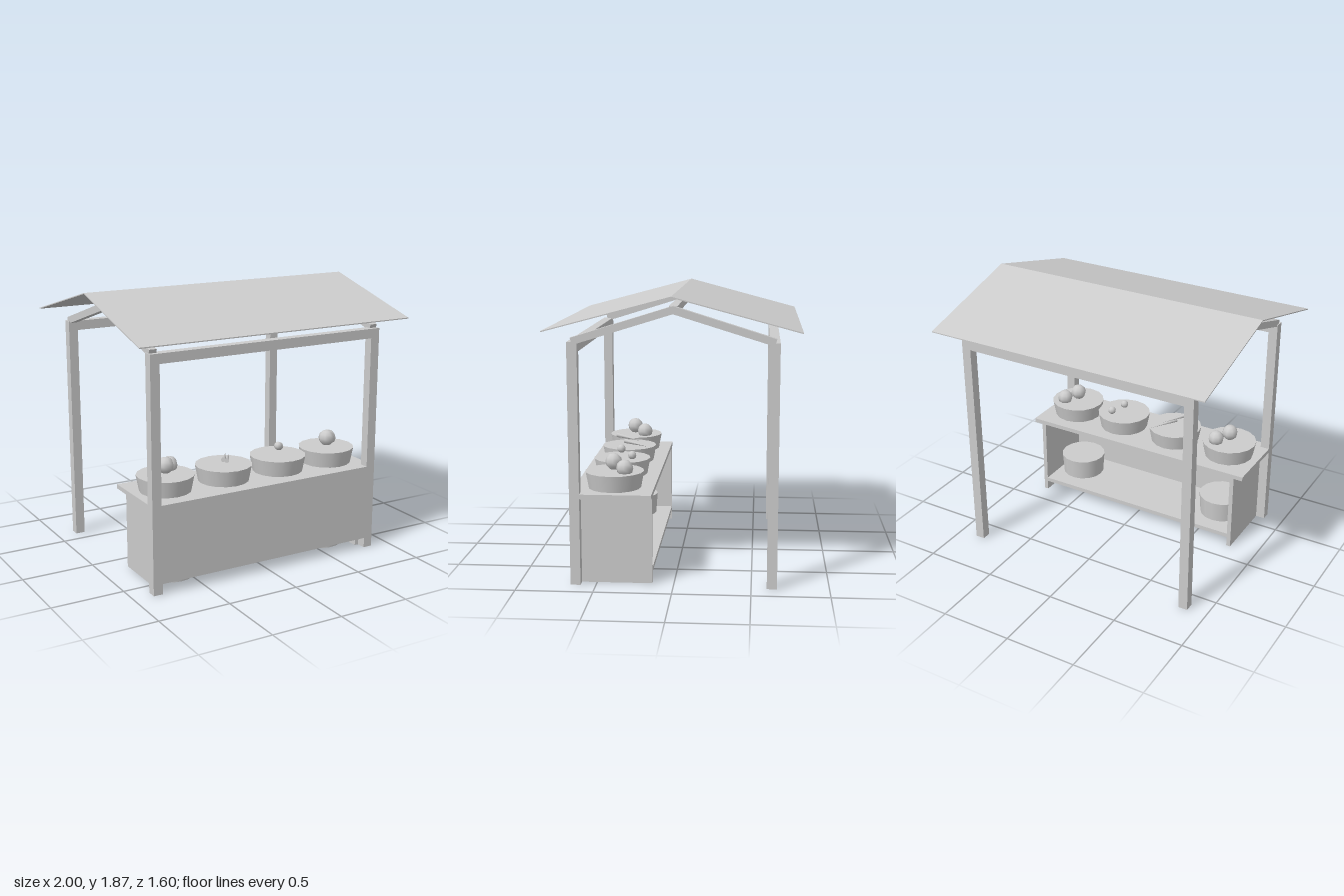
import * as THREE from 'three';

export function createModel() {
  const model = new THREE.Group();
  model.name = 'marketStall';
  const grey = new THREE.MeshStandardMaterial({ color: 0xcccccc });
  grey.name = 'plainGrey';

  const add = (name, geometry, x = 0, y = 0, z = 0, parent = model) => {
    const mesh = new THREE.Mesh(geometry, grey);
    mesh.name = name;
    mesh.position.set(x, y, z);
    parent.add(mesh);
    return mesh;
  };
  // Box given by its lower and upper limits
  const box = (name, x0, x1, y0, y1, z0, z1) =>
    add(name, new THREE.BoxGeometry(x1 - x0, y1 - y0, z1 - z0),
      (x0 + x1) / 2, (y0 + y1) / 2, (z0 + z1) / 2);
  // Gable section, mirrored about the ridge and extruded along x
  const gable = (name, apexTop, apexBottom, outerTop, outerBottom, x0, x1) => {
    const half = [outerTop, outerBottom];
    const points = [[0, apexTop], ...half, [0, apexBottom],
      ...half.slice().reverse().map(([z, y]) => [-z, y])];
    const shape = new THREE.Shape(points.map(([z, y]) => new THREE.Vector2(z, y)));
    const geometry = new THREE.ExtrudeGeometry(shape, { depth: x1 - x0, bevelEnabled: false });
    geometry.rotateY(Math.PI / 2);
    geometry.translate(x0, 0, 0);
    return add(name, geometry);
  };

  // Frame: posts, cross beams, rafters and ridge
  for (const [side, sx] of [['left', 1], ['right', -1]]) {
    for (const [end, sz] of [['Front', 1], ['Back', -1]]) {
      add(`${side}${end}Post`, new THREE.BoxGeometry(0.065, 1.575, 0.065),
        sx * 0.8325, 0.7875, sz * 0.6325);
    }
    gable(`${side}Rafters`, 1.8, 1.75, [0.643, 1.6], [0.63, 1.555],
      sx * 0.8325 - 0.026, sx * 0.8325 + 0.026);
  }
  box('frontBeam', -0.8, 0.8, 1.51, 1.575, 0.6, 0.665);
  box('backBeam', -0.8, 0.8, 1.51, 1.575, -0.665, -0.6);
  box('ridgeBeam', -0.81, 0.81, 1.75, 1.798, -0.027, 0.027);

  // Thin pitched roof
  gable('roof', 1.868, 1.861, [0.8, 1.655], [0.8, 1.648], -1, 1);

  // Counter, open at the back
  box('counterFront', -0.8, 0.8, 0.07, 0.6, 0.6, 0.665);
  box('counterTop', -0.865, 0.865, 0.57, 0.6, 0.14, 0.6);
  box('leftCounterSide', 0.77, 0.8, 0, 0.57, 0.14, 0.6);
  box('rightCounterSide', -0.8, -0.77, 0, 0.57, 0.14, 0.6);
  box('shelf', -0.77, 0.77, 0.07, 0.1, 0.14, 0.6);

  // Tubs standing through the shelf
  for (const x of [-0.6, 0.6]) {
    add('shelfTub', new THREE.CylinderGeometry(0.165, 0.147, 0.25, 16), x, 0.125, 0.4);
  }

  // Display tubs with their produce
  const tubXs = [-0.637, -0.198, 0.232, 0.637];
  const tubs = tubXs.map((x, i) => {
    const group = new THREE.Group();
    group.name = `displayTub${i + 1}`;
    group.position.set(x, 0.6, 0.4);
    model.add(group);
    add('tub', new THREE.CylinderGeometry(0.194, 0.173, 0.11, 16), 0, 0.055, 0, group);
    return group;
  });
  const pair = (group, name, r, dx, y1, y2) => {
    add(name, new THREE.SphereGeometry(r, 8, 6), 0, y1, 0.005, group);
    add(name, new THREE.SphereGeometry(r, 8, 6), dx, y2, -0.075, group);
  };
  pair(tubs[0], 'largeFruit', 0.056, 0.07, 0.17, 0.142);
  pair(tubs[3], 'largeFruit', 0.056, 0.07, 0.17, 0.142);
  pair(tubs[2], 'smallFruit', 0.029, 0.061, 0.17, 0.138);

  // Slim tapered roots lying across the second tub
  const direction = new THREE.Vector3(0.12, -0.018, -0.18).normalize();
  for (const [x, y, z] of [[0.004, 0.161, 0.005], [0.064, 0.13, -0.055]]) {
    const root = add('rootVegetable', new THREE.ConeGeometry(0.017, 0.21, 8), x, y, z, tubs[1]);
    root.quaternion.setFromUnitVectors(new THREE.Vector3(0, 1, 0), direction);
  }
  return model;
}
